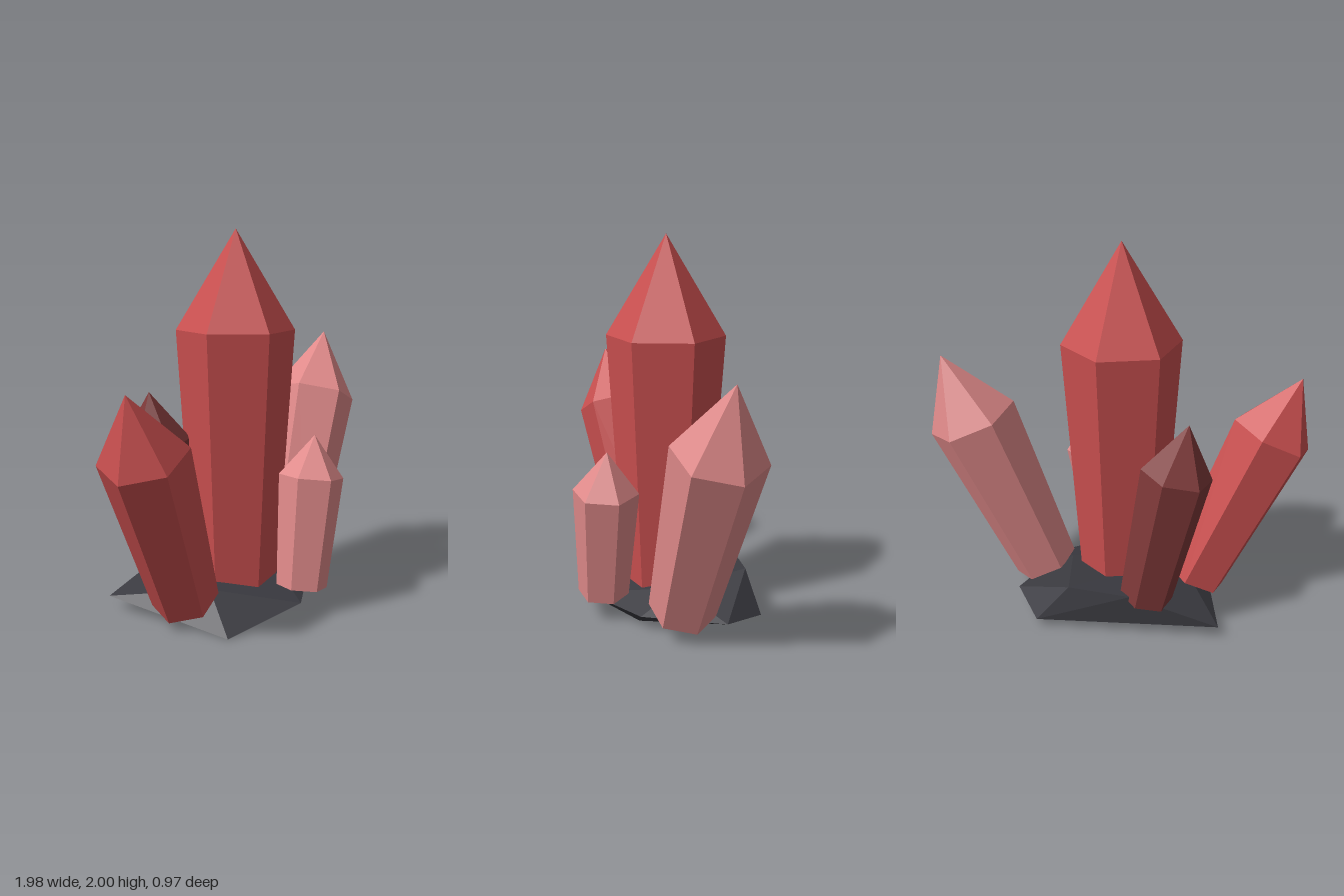
import * as THREE from 'three';
import { ConvexGeometry } from 'three/addons/geometries/ConvexGeometry.js';

const flat = (name, color) => {
  const m = new THREE.MeshStandardMaterial({ color, flatShading: true });
  m.name = name;
  return m;
};

// Six-sided crystal from base to tip; "facing" points from the axis to one corner.
function crystal(name, material, { base, tip, facing, baseRadius, radius, shoulder = 0.73 }) {
  const start = new THREE.Vector3(...base);
  const up = new THREE.Vector3(...tip).sub(start);
  const length = up.length();
  up.normalize();

  const profile = [[0, 0], [baseRadius, 0], [radius, length * shoulder], [0, length]]
    .map(([r, y]) => new THREE.Vector2(r, y));
  const geometry = new THREE.LatheGeometry(profile, 6).toNonIndexed();
  geometry.computeVertexNormals();

  const side = new THREE.Vector3().crossVectors(up, new THREE.Vector3(...facing)).normalize();
  const front = new THREE.Vector3().crossVectors(side, up);
  geometry.applyMatrix4(new THREE.Matrix4().makeBasis(side, up, front).setPosition(start));

  const mesh = new THREE.Mesh(geometry, material);
  mesh.name = name;
  return mesh;
}

export function createModel() {
  const model = new THREE.Group();
  model.name = 'crystalCluster';

  const red = flat('crystal red', 0xc94f4f);
  const pink = flat('pale pink', 0xe08a8a);
  const darkRed = flat('dark red', 0x7d3838);
  const stone = flat('dark stone', 0x3a3a40);

  // Faceted rock, higher at the back
  const corners = [
    [-0.44, 0, 0.33], [0.33, 0, -0.28], [-0.3, 0, -0.28], [0.25, 0, 0.15],
    [0.02, 0.08, 0.41], [0.37, 0.08, 0.16], [0.53, 0.08, -0.26],
    [0.37, 0.04, -0.48], [-0.595, 0.07, -0.41],
    [0.2, 0.235, -0.435], [-0.13, 0.22, -0.44], [-0.32, 0.16, 0.08], [0.27, 0.18, -0.05],
  ].map((p) => new THREE.Vector3(...p));
  const rock = new THREE.Mesh(new ConvexGeometry(corners), stone);
  rock.name = 'rockBase';

  model.add(
    rock,
    crystal('mainCrystal', red, {
      base: [-0.015, 0.13, -0.035], tip: [-0.008, 2, -0.035],
      facing: [-0.07, 0, 0.305], baseRadius: 0.228, radius: 0.313, shoulder: 0.722,
    }),
    crystal('rightCrystal', red, {
      base: [-0.42, 0.115, 0], tip: [-0.93, 1.265, 0.18],
      facing: [-0.045, -0.05, 0.218], baseRadius: 0.175, radius: 0.226,
    }),
    crystal('leftCrystal', pink, {
      base: [0.43, 0.13, -0.045], tip: [0.91, 1.4, -0.185],
      facing: [-0.047, 0.047, 0.23], baseRadius: 0.175, radius: 0.237, shoulder: 0.72,
    }),
    crystal('frontCrystal', pink, {
      base: [0.125, 0.125, 0.325], tip: [0.235, 0.93, 0.31],
      facing: [-0.04, 0.01, 0.165], baseRadius: 0.135, radius: 0.172,
    }),
    crystal('backCrystal', darkRed, {
      base: [-0.2, 0.17, -0.35], tip: [-0.395, 1.165, -0.29],
      facing: [-0.05, 0, 0.18], baseRadius: 0.14, radius: 0.187,
    }),
  );
  return model;
}
